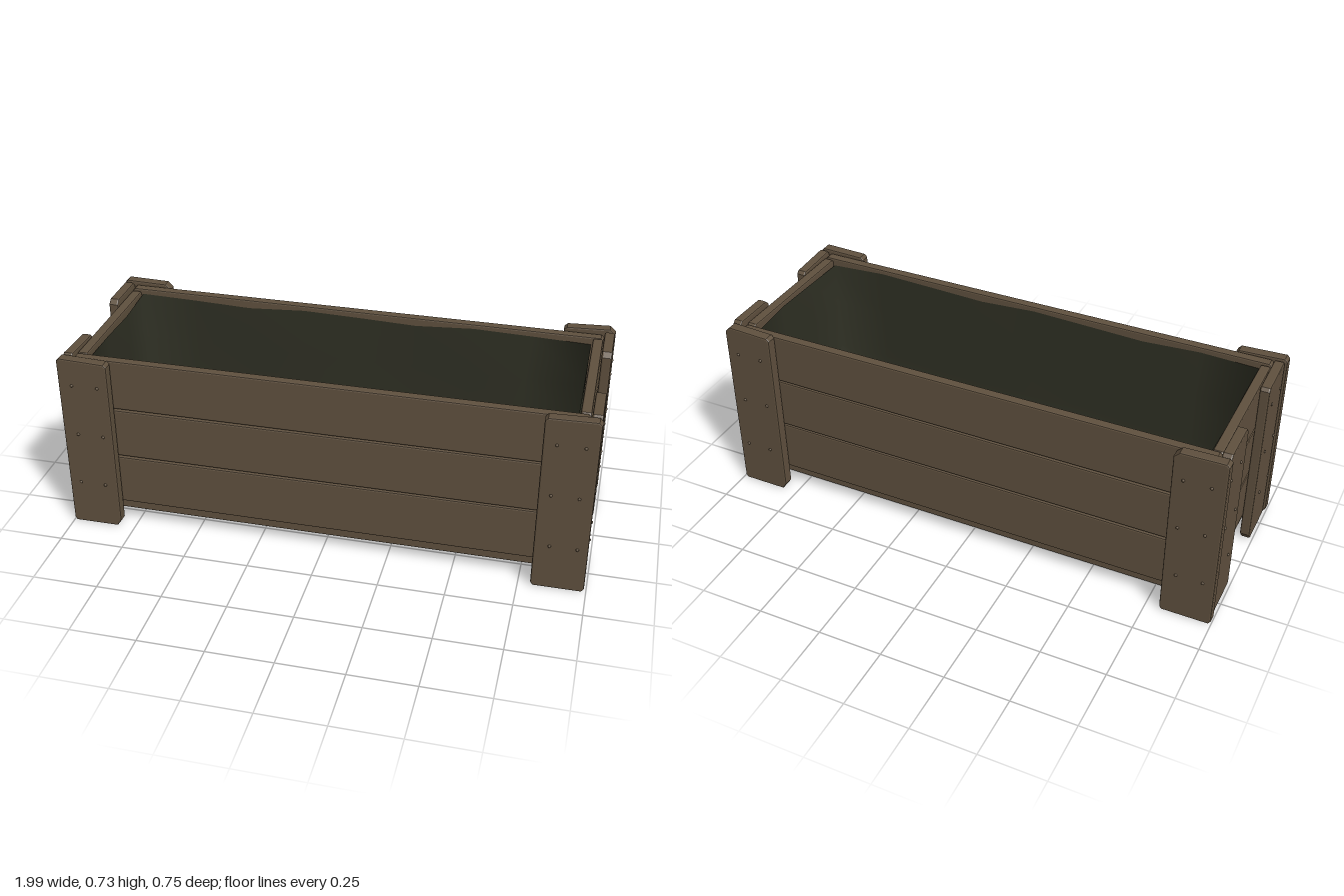
import * as THREE from 'three';

const BEVEL = 0.006;

// Rough-sawn board: width x height x thickness, clipped corners [bl, br, tr, tl],
// with the top edge rising by tilt from left to right.
function boardGeometry(w, h, t, cuts = [0.006, 0.006, 0.006, 0.006], tilt = 0) {
  const a = w / 2 - BEVEL, b = h / 2 - BEVEL;
  const [bl, br, tr, tl] = cuts;
  const topL = b - tilt / 2, topR = b + tilt / 2;
  const shape = new THREE.Shape([
    [-a + bl * 0.7, -b], [a - br * 0.7, -b], [a, -b + br], [a, topR - tr],
    [a - tr, topR], [-a + tl, topL], [-a, topL - tl], [-a, -b + bl],
  ].map(([x, y]) => new THREE.Vector2(x, y)));
  const geo = new THREE.ExtrudeGeometry(shape, {
    depth: t - 2 * BEVEL, bevelEnabled: true, bevelSize: BEVEL, bevelThickness: BEVEL, bevelSegments: 2,
  });
  return geo.translate(0, 0, -t / 2 + BEVEL);
}

// Soft open bag made from rounded rectangular rings, closed by a floor.
function linerGeometry() {
  const rings = [
    [0, 0.685], [0.002, 0.5], [0.004, 0.3], [0.012, 0.18], [0.03, 0.135],
    [0.065, 0.112], [0.12, 0.104], [0.2, 0.102], [0.275, 0.102],
  ];
  const per = 22, pos = [], idx = [];
  rings.forEach(([inset, y], r) => {
    const hx = 0.905 - inset, hz = 0.284 - inset;
    const outline = [];
    const side = (x0, z0, x1, z1, n) => {
      for (let i = 0; i < n; i++) outline.push([x0 + (x1 - x0) * i / n, z0 + (z1 - z0) * i / n]);
    };
    side(-hx, hz, hx, hz, 8);
    side(hx, hz, hx, -hz, 3);
    side(hx, -hz, -hx, -hz, 8);
    side(-hx, -hz, -hx, hz, 3);
    outline.forEach(([x, z], i) => {
      const sag = r === 0 ? 0.008 * Math.sin(i * 2.1) : 0;
      const pull = r > 0 && r < 6 ? 1 - 0.012 * (1 + Math.sin(i * 1.7)) : 1;
      pos.push(x * (1 - (1 - pull) * 0.4), y + sag, z * pull);
    });
  });
  for (let r = 0; r < rings.length - 1; r++) {
    for (let i = 0; i < per; i++) {
      const j = (i + 1) % per, a = r * per + i, b = r * per + j;
      idx.push(a, b, a + per, b, b + per, a + per);
    }
  }
  // Closing strip in the middle of the floor
  const last = (rings.length - 1) * per;
  pos.push(0, 0.102, 0);
  for (let i = 0; i < per; i++) idx.push(last + i, last + (i + 1) % per, last + per);
  // Normals face inwards
  const geo = new THREE.BufferGeometry();
  geo.setAttribute('position', new THREE.Float32BufferAttribute(pos, 3));
  geo.setIndex(idx);
  geo.computeVertexNormals();
  return geo;
}

export function createModel() {
  const model = new THREE.Group();
  const wood = new THREE.MeshStandardMaterial({ color: 0x5f503e });
  wood.name = 'weathered wood';
  const cloth = new THREE.MeshStandardMaterial({ color: 0x2e2f23, side: THREE.DoubleSide });
  cloth.name = 'dark green liner';

  const add = (name, geo, x, y, z, ry = 0, mat = wood) => {
    const mesh = new THREE.Mesh(geo, mat);
    mesh.name = name;
    mesh.position.set(x, y, z);
    mesh.rotation.y = ry;
    model.add(mesh);
    return mesh;
  };

  // Three wall planks on every side: [bottom, top]
  const courses = [[0.095, 0.292], [0.304, 0.498], [0.51, 0.705]];
  courses.forEach(([y0, y1], i) => {
    const h = y1 - y0, y = (y0 + y1) / 2;
    for (const s of [1, -1]) {
      const tilt = (i === 2 ? -0.005 : 0.003) * s;
      add(s > 0 ? 'frontPlank' : 'backPlank',
        boardGeometry(1.9, h + 0.006, 0.037, undefined, tilt), 0, y, s * 0.307, s > 0 ? 0 : Math.PI);
      add(s > 0 ? 'leftEndPlank' : 'rightEndPlank',
        boardGeometry(0.575, h, 0.038, undefined, 0.003), s * 0.93, y, 0, s * Math.PI / 2);
    }
  });

  // Floor boards running lengthwise
  for (const [z, w] of [[-0.212, 0.2], [0.002, 0.206], [0.215, 0.2]]) {
    const board = add('floorBoard', boardGeometry(1.88, w, 0.038, [0.012, 0.01, 0.012, 0.014]), 0, 0.075, z);
    board.rotation.x = -Math.PI / 2;
  }

  add('liner', linerGeometry(), 0, 0, 0, 0, cloth);

  // Corner posts: a face board and an end board at each corner, with nail heads
  const nailGeo = new THREE.SphereGeometry(0.006, 8, 6);
  const c = 0.008;
  for (const sx of [1, -1]) {
    for (const sz of [1, -1]) {
      const top = sz > 0 ? 0.717 : 0.723;
      const faceX = sx > 0 ? 0.894 : -0.9;
      // Worn inner lower corner on the right front and left back posts
      const worn = sx * sz < 0;
      const cuts = [c, worn ? 0.022 : c, c, sz > 0 ? c : 0.018];
      add('cornerFaceBoard', boardGeometry(0.196, top, 0.041, cuts, worn ? -0.007 : 0.004),
        faceX, top / 2, sz * 0.348, sz > 0 ? 0 : Math.PI);

      const endTop = sz > 0 ? 0.714 : 0.725;
      const endCuts = sz > 0
        ? (sx > 0 ? [c, 0.024, c, c] : [0.024, c, c, c])
        : [c, c, 0.014, 0.014];
      add('cornerEndBoard', boardGeometry(0.195, endTop, 0.038, endCuts, sz > 0 ? -0.008 * sx : 0),
        sx * 0.971, endTop / 2, sz * 0.226, sx * Math.PI / 2);

      [0.19, 0.4, 0.612].forEach((y, i) => {
        const shift = [0.008, -0.004, 0][i];
        for (const z of [0.188, 0.3]) add('nail', nailGeo, sx * 0.99, y + shift * 0.6, sz * (z + shift));
        for (const x of [0.845, 0.945]) add('nail', nailGeo, sx * (x + shift), y - shift * 0.6, sz * 0.3685);
      });
    }
  }
  return model;
}
